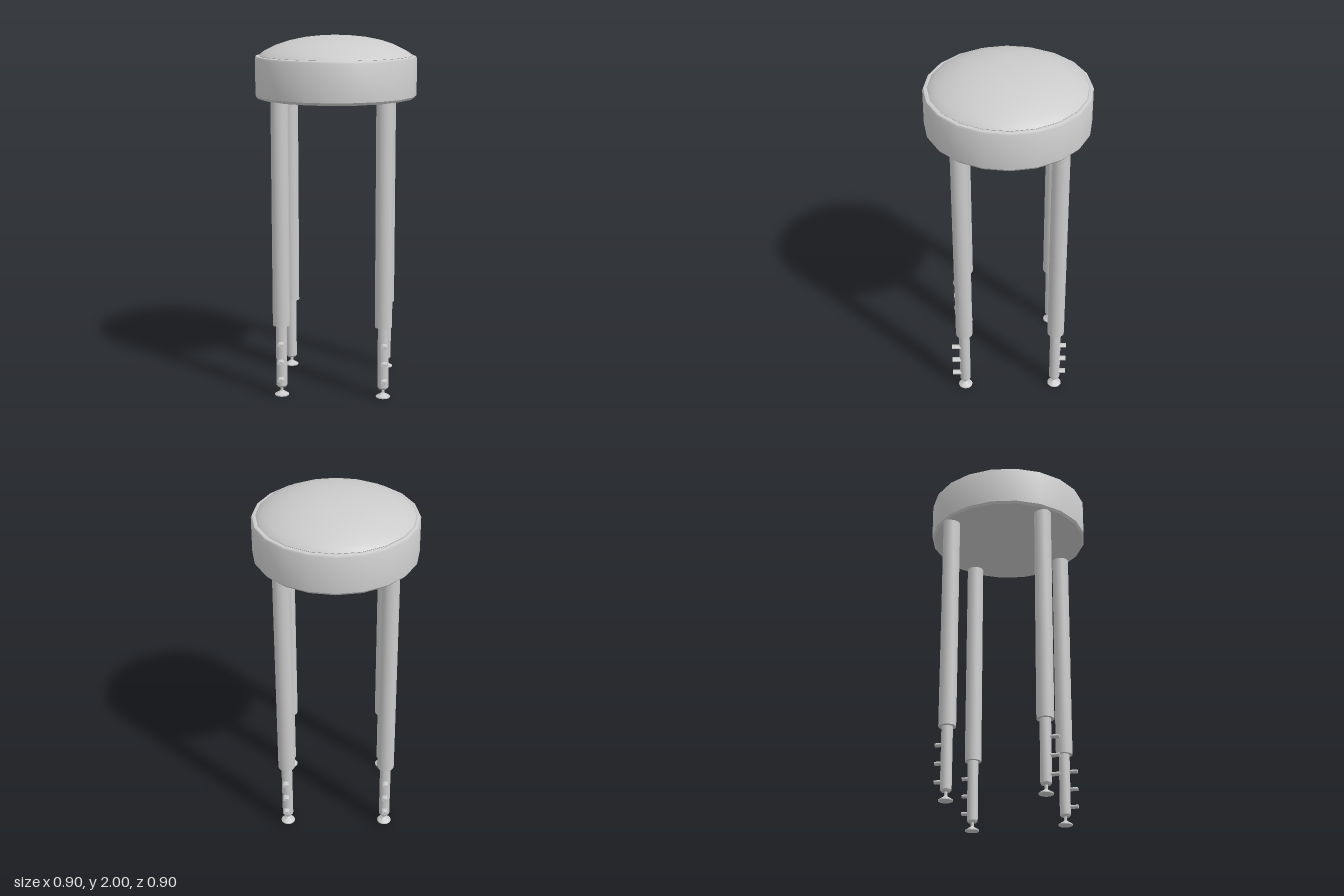
import * as THREE from 'three';
import { toCreasedNormals } from 'three/addons/utils/BufferGeometryUtils.js';

const material = new THREE.MeshStandardMaterial({ color: 0xcccccc });

// Surface of revolution from [radius, height] pairs, listed bottom to top
function lathe(name, profile, sides) {
  const points = profile.map(([r, y]) => new THREE.Vector2(r, y));
  const geometry = toCreasedNormals(new THREE.LatheGeometry(points, sides), 0.6);
  const mesh = new THREE.Mesh(geometry, material);
  mesh.name = name;
  return mesh;
}

// One telescopic leg; side is the z direction its locking pins point
function createLeg(name, x, z, side, pinX) {
  const leg = new THREE.Group();
  leg.name = name;
  leg.position.set(x, 0, z);

  leg.add(lathe('outerTube', [[0, 0.41], [0.048, 0.41], [0.048, 1.68], [0, 1.68]], 16));
  leg.add(lathe('innerTube', [[0, 0.05], [0.024, 0.05], [0.031, 0.06], [0.031, 0.42], [0, 0.42]], 16));
  leg.add(lathe('foot', [
    [0, 0], [0.04, 0], [0.04, 0.006], [0.014, 0.022], [0.009, 0.027], [0.009, 0.055], [0, 0.055],
  ], 16));

  // Flattened pins marking the height settings
  const reach = 0.333 - Math.abs(z);
  for (const y of [0.105, 0.207, 0.31]) {
    const pin = new THREE.Mesh(new THREE.CylinderGeometry(0.01, 0.01, reach, 12), material);
    pin.name = 'lockingPin';
    pin.scale.x = 1.75;
    pin.rotation.x = Math.PI / 2;
    pin.position.set(pinX, y, side * reach / 2);
    leg.add(pin);
  }
  return leg;
}

export function createModel() {
  const stool = new THREE.Group();
  stool.name = 'stool';

  // Padded seat: side band with rounded edges
  stool.add(lathe('seatBand', [
    [0, 1.65], [0.13, 1.65], [0.42, 1.656], [0.44, 1.66], [0.45, 1.673],
    [0.45, 1.877], [0.445, 1.887], [0.435, 1.891], [0.425, 1.889], [0.415, 1.88], [0, 1.88],
  ], 20));

  // Domed cushion on top
  stool.add(lathe('seatCushion', [
    [0.415, 1.88], [0.426, 1.891], [0.415, 1.902], [0.39, 1.919], [0.33, 1.948],
    [0.26, 1.971], [0.18, 1.988], [0.1, 1.997], [0, 2],
  ], 20));

  for (const [label, x, pinX] of [['Left', 0.284, 0.006], ['Right', -0.286, 0]]) {
    stool.add(createLeg('front' + label + 'Leg', x, 0.26, 1, pinX));
    stool.add(createLeg('back' + label + 'Leg', x, -0.27, -1, pinX));
  }
  return stool;
}
